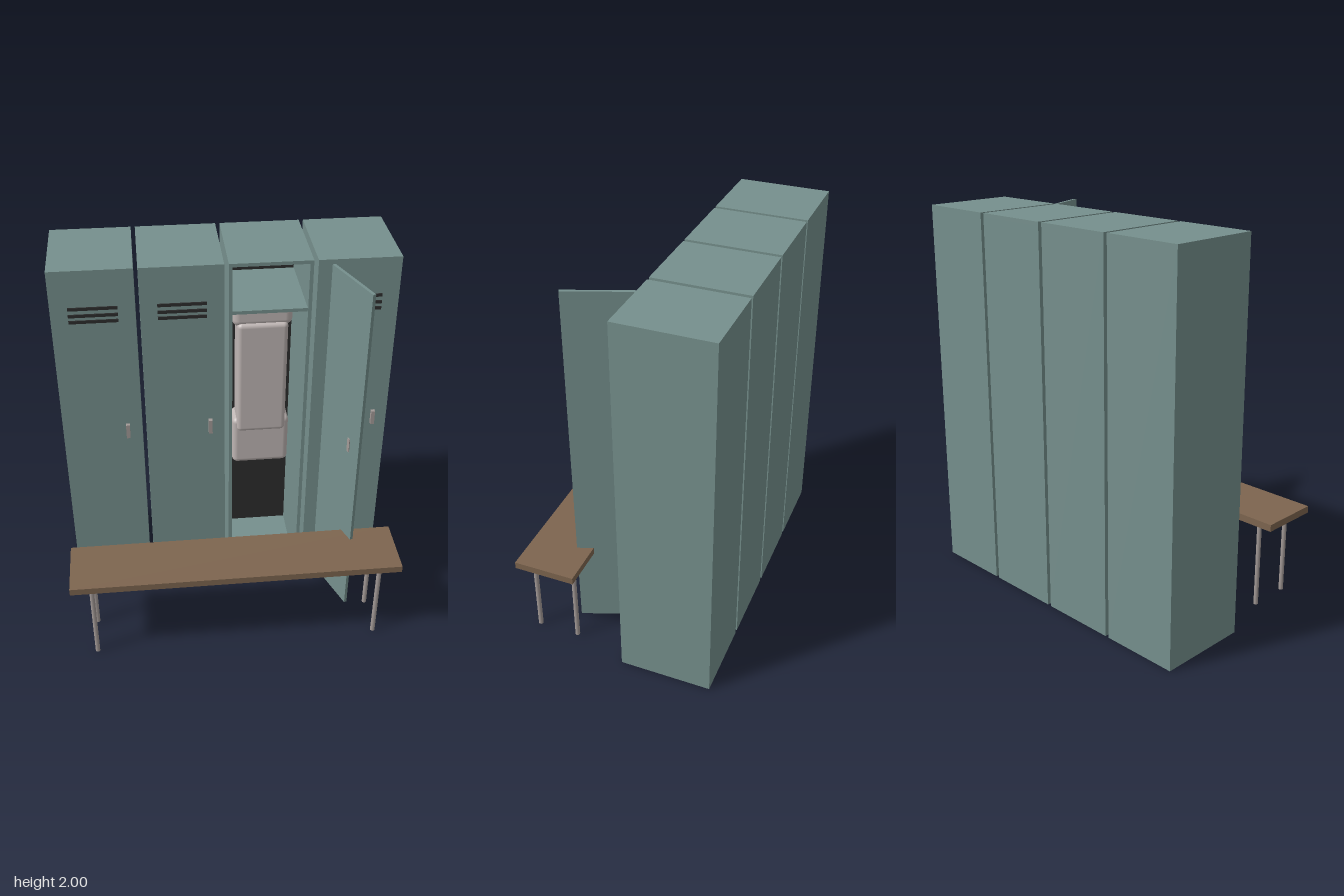
import * as THREE from 'three';
import { RoundedBoxGeometry } from 'three/addons/geometries/RoundedBoxGeometry.js';

export function createModel() {
  const model = new THREE.Group();
  const material = (name, color) => {
    const m = new THREE.MeshStandardMaterial({ color });
    m.name = name;
    return m;
  };
  const paint = material('teal paint', 0x76908d);
  const dark = material('dark lining', 0x2d2d2d);
  const wood = material('bench wood', 0x7d654f);
  const metal = material('grey metal', 0xa39a97);
  const fabric = material('pale fabric', 0xbfb6b4);

  const add = (parent, name, geometry, mat, x, y, z) => {
    const mesh = new THREE.Mesh(geometry, mat);
    mesh.name = name;
    mesh.position.set(x, y, z);
    parent.add(mesh);
    return mesh;
  };
  // box given by its lower and upper corners
  const box = (parent, name, mat, [x0, y0, z0], [x1, y1, z1]) =>
    add(parent, name, new THREE.BoxGeometry(x1 - x0, y1 - y0, z1 - z0), mat,
      (x0 + x1) / 2, (y0 + y1) / 2, (z0 + z1) / 2);

  const half = 0.205, back = -0.525, front = -0.045, wall = 0.018;

  // closed lockers with vent slots and a handle
  for (const x of [-0.65, -0.219, 0.645]) {
    const locker = new THREE.Group();
    locker.name = 'closedLocker';
    locker.position.x = x;
    model.add(locker);
    box(locker, 'lockerBody', paint, [-half, 0, back], [half, 2, front]);
    for (const y of [1.8, 1.763, 1.73])
      box(locker, 'ventSlot', dark, [-0.12, y - 0.008, front], [0.12, y + 0.008, front + 0.006]);
    box(locker, 'handle', metal, [0.12, 1.04, front], [0.14, 1.12, front + 0.021]);
  }

  // open locker shell
  const open = new THREE.Group();
  open.name = 'openLocker';
  open.position.x = 0.213;
  model.add(open);
  const inner = half - wall;
  for (const s of [-1, 1])
    add(open, 'sidePanel', new THREE.BoxGeometry(wall, 2, front - back), paint,
      s * (half - wall / 2), 1, (front + back) / 2);
  box(open, 'topPanel', paint, [-inner, 2 - wall, back], [inner, 2, front]);
  box(open, 'bottomPanel', paint, [-inner, 0.012, back], [inner, 0.03, front]);
  box(open, 'backPanel', paint, [-inner, 0, back], [inner, 2 - wall, back + 0.012]);
  box(open, 'backLining', dark, [-inner, 0.03, back + 0.012], [inner, 2 - wall, back + 0.017]);
  box(open, 'shelf', paint, [-inner, 1.722, back + 0.017], [inner, 1.74, front - 0.01]);
  const rod = add(open, 'hangingRod', new THREE.CylinderGeometry(0.006, 0.006, inner * 2, 12),
    paint, 0, 1.667, -0.35);
  rod.rotation.z = Math.PI / 2;

  // hanging padded bag: body, top flap, bottom pocket and grip
  const bag = new THREE.Group();
  bag.name = 'hangingBag';
  model.add(bag);
  const pad = (name, w, h, d, r, y, z) =>
    add(bag, name, new RoundedBoxGeometry(w, h, d, 4, r), fabric, 0.212, y, z);
  pad('bagBody', 0.27, 0.68, 0.16, 0.025, 1.2, -0.35);
  pad('bagTop', 0.32, 0.125, 0.15, 0.04, 1.575, -0.36);
  pad('bagPocket', 0.315, 0.3, 0.15, 0.03, 0.785, -0.36);
  pad('bagGrip', 0.11, 0.06, 0.06, 0.025, 1.635, -0.3);

  // swung-open door, its length along local z from the hinge
  const door = new THREE.Group();
  door.name = 'openDoor';
  door.position.set(0.514, 0, -0.042);
  door.rotation.y = Math.atan2(0.124, 0.328);
  model.add(door);
  box(door, 'doorPanel', paint, [-0.008, 0.037, 0], [0.008, 1.977, 0.351]);
  box(door, 'doorHandle', metal, [-0.012, 1.04, 0.25], [-0.008, 1.12, 0.27]);

  // bench
  const bench = new THREE.Group();
  bench.name = 'bench';
  model.add(bench);
  box(bench, 'benchSeat', wood, [-0.864, 0.47, 0.203], [0.862, 0.507, 0.525]);
  for (const x of [-0.757, 0.755])
    for (const z of [0.255, 0.475])
      add(bench, 'benchLeg', new THREE.CylinderGeometry(0.0125, 0.0125, 0.47, 10), metal, x, 0.235, z);

  return model;
}
